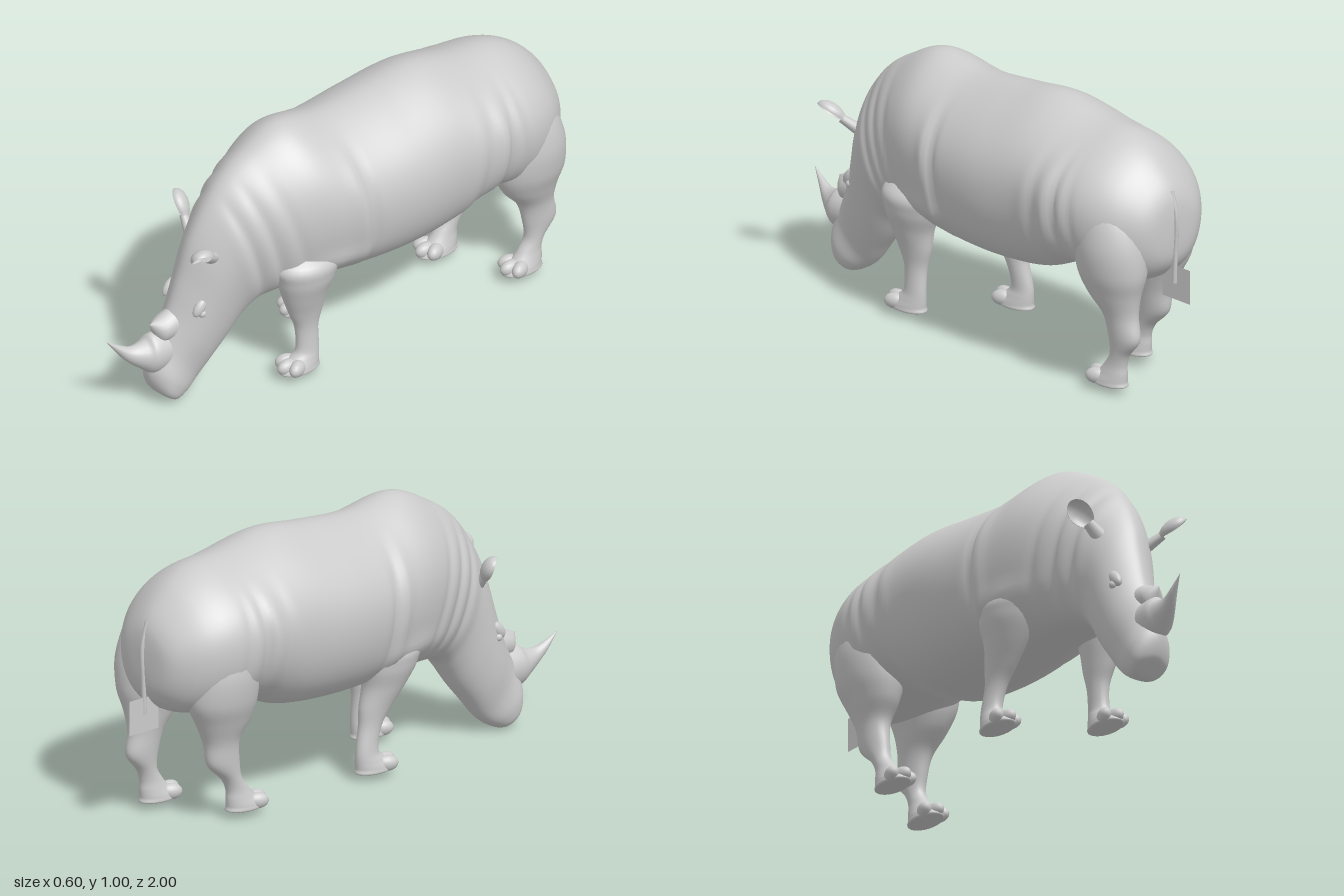
import * as THREE from 'three';

const gray = new THREE.MeshStandardMaterial({ color: 0xcccccc });
const grayThin = new THREE.MeshStandardMaterial({ color: 0xcccccc, side: THREE.DoubleSide });

function add(parent, name, geometry, material = gray) {
  const mesh = new THREE.Mesh(geometry, material);
  mesh.name = name;
  parent.add(mesh);
  return mesh;
}

// Smoothly interpolates a table of section rows.
function refine(rows, steps) {
  const out = [];
  const at = i => rows[Math.min(Math.max(i, 0), rows.length - 1)];
  for (let i = 0; i < rows.length - 1; i++) {
    for (let s = 0; s < steps; s++) {
      const t = s / steps;
      out.push(at(i).map((b, k) => {
        const a = at(i - 1)[k], c = at(i + 1)[k], d = at(i + 2)[k];
        return b + 0.5 * t * (c - a + t * (2 * a - 5 * b + 4 * c - d + t * (3 * (b - c) + d - a)));
      }));
    }
  }
  out.push(rows[rows.length - 1]);
  return out;
}

// Skins closed rings; point(row, cos, sin) returns [x, y, z].
function loft(rows, steps, segments, point) {
  const rings = refine(rows, steps), pos = [], index = [];
  rings.forEach((row, i) => {
    for (let j = 0; j < segments; j++) {
      const a = (j / segments) * Math.PI * 2;
      pos.push(...point(row, Math.cos(a), Math.sin(a)));
      if (i === rings.length - 1) continue;
      const p = i * segments + j, q = i * segments + (j + 1) % segments;
      index.push(p, q, p + segments, q, q + segments, p + segments);
    }
  });
  const g = new THREE.BufferGeometry();
  g.setAttribute('position', new THREE.Float32BufferAttribute(pos, 3));
  g.setIndex(index);
  g.computeVertexNormals();
  return g;
}

// Section row: top z, top y, bottom z, bottom y, half width, centre x.
const section = ([tz, ty, bz, by, w, cx], c, s) => [
  cx + Math.max(w, 0) * c * (s > 0 ? 1 - 0.28 * s ** 3 : 1),
  (ty + by) / 2 + s * (ty - by) / 2,
  (tz + bz) / 2 + s * (tz - bz) / 2,
];

// Skin folds: z at y = 0.6, lean, depth.
const folds = [
  [0.04, 0.12, 0.05], [-0.58, -0.05, 0.05], [-0.47, -0.1, 0.02], [-0.67, 0.1, 0.02],
  [0.33, 0.3, 0.03], [0.42, 0.3, 0.045], [0.5, 0.3, 0.045],
];
const bump = (d, r) => Math.exp(-((d / r) ** 2));

function skin(row, c, s) {
  // the underside is fuller than an ellipse
  const cc = s < 0 ? Math.sign(c) * Math.abs(c) ** 0.78 : c;
  const [x, y, z] = section(row, cc, s);
  const mask = THREE.MathUtils.smoothstep(y, 0.33, 0.5) * (1 - THREE.MathUtils.smoothstep(y, 0.75, 0.97));
  // shoulder roll above the front legs
  let k = 1 + 0.09 * bump(y - 0.47, 0.05) * bump(z - 0.18, 0.13);
  for (const [z0, lean, depth] of folds) {
    const d = z - z0 - lean * (y - 0.6);
    k += mask * depth * (0.8 * bump(d - 0.04, 0.03) - bump(d, 0.018));
  }
  return [row[5] + (x - row[5]) * k, y, z];
}

const bodyRows = [
  [-0.935, 0.68, -0.935, 0.64, 0, 0],
  [-0.922, 0.76, -0.922, 0.52, 0.11, 0],
  [-0.88, 0.83, -0.87, 0.45, 0.182, 0],
  [-0.8, 0.905, -0.8, 0.42, 0.24, 0],
  [-0.7, 0.95, -0.7, 0.41, 0.275, 0],
  [-0.55, 0.965, -0.55, 0.425, 0.29, 0],
  [-0.35, 1.005, -0.38, 0.36, 0.295, 0],
  [-0.15, 0.985, -0.18, 0.34, 0.302, 0],
  [0.07, 0.97, 0.02, 0.34, 0.282, 0],
  [0.27, 1.0, 0.21, 0.35, 0.25, 0],
  [0.43, 0.93, 0.35, 0.345, 0.2, 0],
  [0.53, 0.86, 0.42, 0.335, 0.168, 0],
  [0.61, 0.76, 0.46, 0.31, 0.147, 0],
  [0.67, 0.64, 0.49, 0.27, 0.13, -0.008],
  [0.71, 0.5, 0.535, 0.2, 0.115, -0.018],
  [0.75, 0.37, 0.59, 0.13, 0.1, -0.026],
  [0.8, 0.26, 0.64, 0.065, 0.082, -0.031],
  [0.84, 0.16, 0.69, 0.025, 0.083, -0.032],
  [0.825, 0.075, 0.735, 0.006, 0.064, -0.032],
  [0.785, 0.035, 0.765, 0.018, 0, -0.032],
];

const hornRows = [
  [0.77, 0.3, 0.77, 0.14, 0.062, -0.033],
  [0.825, 0.3, 0.83, 0.142, 0.062, -0.034],
  [0.85, 0.28, 0.87, 0.17, 0.05, -0.038],
  [0.9, 0.27, 0.92, 0.213, 0.028, -0.048],
  [0.95, 0.29, 0.955, 0.255, 0.015, -0.06],
  [1.0, 0.32, 1.0, 0.32, 0, -0.07],
];
const rearHornRows = [
  [0.66, 0.4, 0.66, 0.25, 0.05, -0.024],
  [0.75, 0.375, 0.77, 0.26, 0.05, -0.026],
  [0.8, 0.355, 0.8, 0.27, 0.038, -0.028],
  [0.83, 0.343, 0.825, 0.325, 0, -0.03],
];

// Leg row: height, centre z offset, half depth, x offset, half width.
const footRows = [
  [0.03, 0, 0, 0, 0],
  [0.031, 0.005, 0.078, 0, 0.046],
  [0.05, 0.005, 0.08, 0, 0.049],
  [0.08, -0.015, 0.062, 0, 0.041],
  [0.115, -0.03, 0.047, 0, 0.034],
];
const frontRows = [
  [0.2, -0.025, 0.048, -0.005, 0.036],
  [0.27, -0.015, 0.07, -0.005, 0.048],
  [0.35, 0, 0.092, 0, 0.068],
  [0.43, 0, 0.12, 0.005, 0.088],
  [0.5, 0, 0.125, -0.005, 0.09],
  [0.58, 0, 0, -0.04, 0],
];
const hindRows = [
  [0.16, -0.05, 0.042, 0, 0.034],
  [0.225, -0.07, 0.07, 0, 0.043],
  [0.31, -0.05, 0.076, 0, 0.054],
  [0.39, -0.02, 0.115, 0.005, 0.08],
  [0.48, -0.012, 0.145, 0.008, 0.11],
  [0.6, -0.01, 0.14, 0.005, 0.123],
  [0.73, 0, 0.1, -0.01, 0.1],
  [0.84, 0, 0, -0.03, 0],
];

// shift slides the upper leg so that it meets the body mid-stride.
function leg(parent, name, side, x, z, upper, shift) {
  const group = new THREE.Group();
  group.name = name;
  parent.add(group);
  add(group, 'limb', loft([...footRows, ...upper], 6, 28, ([y, oz, rz, ox, rx], c, s) => [
    side * (x + ox) + Math.max(rx, 0) * s,
    y,
    z + oz + shift * THREE.MathUtils.smoothstep(y, 0.08, 0.5) + Math.max(rz, 0) * c,
  ]));
  // low toes spread around the front of the foot, with closed soles
  for (const t of [-1, 0, 1]) {
    const toe = add(group, 'toe', new THREE.SphereGeometry(1, 18, 12));
    toe.scale.set(0.026, 0.03, 0.044);
    toe.position.set(side * x + t * 0.031, 0.058, z + 0.058 - Math.abs(t) * 0.02);
    toe.rotation.y = t * 0.45;
  }
}

// Cupped ear on a short stem, open along one side.
function ear(parent, name, base, along, open) {
  const profile = [[0.001, -0.03], [0.03, -0.02], [0.02, 0.02], [0.021, 0.045], [0.036, 0.07],
    [0.043, 0.1], [0.037, 0.13], [0.02, 0.15], [0.001, 0.157]].map(p => new THREE.Vector2(...p));
  const curve = new THREE.SplineCurve(profile).getPoints(28);
  const mesh = add(parent, name, new THREE.LatheGeometry(curve, 24, Math.PI * 0.42, Math.PI * 1.16), grayThin);
  const y = new THREE.Vector3(...along).normalize();
  const x = new THREE.Vector3().crossVectors(y, new THREE.Vector3(...open)).normalize();
  const z = new THREE.Vector3().crossVectors(x, y);
  mesh.quaternion.setFromRotationMatrix(new THREE.Matrix4().makeBasis(x, y, z));
  mesh.position.set(...base);
  mesh.scale.z = 0.75;
  // stem stays closed where the cup opens
  const stem = add(mesh, 'earStem', new THREE.CylinderGeometry(0.021, 0.032, 0.09, 16));
  stem.position.y = 0.01;
}

export function createModel() {
  const model = new THREE.Group();
  model.name = 'rhinoceros';

  add(model, 'bodyAndHead', loft(bodyRows, 10, 72, skin));
  add(model, 'frontHorn', loft(hornRows, 6, 24, section));
  add(model, 'rearHorn', loft(rearHornRows, 6, 24, section));

  leg(model, 'leftFrontLeg', 1, 0.15, 0.285, frontRows, -0.025);
  leg(model, 'rightFrontLeg', -1, 0.148, 0.04, frontRows, 0.075);
  leg(model, 'leftHindLeg', 1, 0.14, -0.74, hindRows, -0.005);
  leg(model, 'rightHindLeg', -1, 0.14, -0.575, hindRows, -0.1);

  ear(model, 'leftEar', [0.08, 0.61, 0.64], [0.06, 0.065, 0.095], [0.7, -0.2, 0.5]);
  ear(model, 'rightEar', [-0.115, 0.61, 0.585], [-0.1, 0.1, -0.02], [-0.5, -0.2, 0.5]);

  for (const side of [-1, 1]) {
    // Eyes under a soft brow, and nostril rims, mostly sunk into the head
    const eye = add(model, 'eye', new THREE.SphereGeometry(0.016, 16, 12));
    eye.position.set(-0.022 + side * 0.093, 0.38, 0.672);
    const brow = add(model, 'brow', new THREE.SphereGeometry(1, 20, 14));
    brow.scale.set(0.018, 0.022, 0.04);
    brow.position.set(-0.022 + side * 0.088, 0.405, 0.678);
    brow.rotation.x = 0.9;
    const nostril = add(model, 'nostril', new THREE.TorusGeometry(0.016, 0.006, 8, 20));
    nostril.position.set(-0.032 + side * 0.069, 0.1, 0.788);
    nostril.rotation.y = side * 1.1;
  }

  // Tail with a flat tuft
  const tailPath = new THREE.CatmullRomCurve3([[0, 0.78, -0.91], [0, 0.68, -0.935], [0, 0.55, -0.93],
    [0, 0.43, -0.925]].map(p => new THREE.Vector3(...p)));
  add(model, 'tail', new THREE.TubeGeometry(tailPath, 24, 0.009, 8));
  const tuft = add(model, 'tailTuft', new THREE.PlaneGeometry(0.14, 0.13), grayThin);
  tuft.rotation.y = Math.PI / 2;
  tuft.position.set(-0.004, 0.43, -0.93);

  return model;
}
